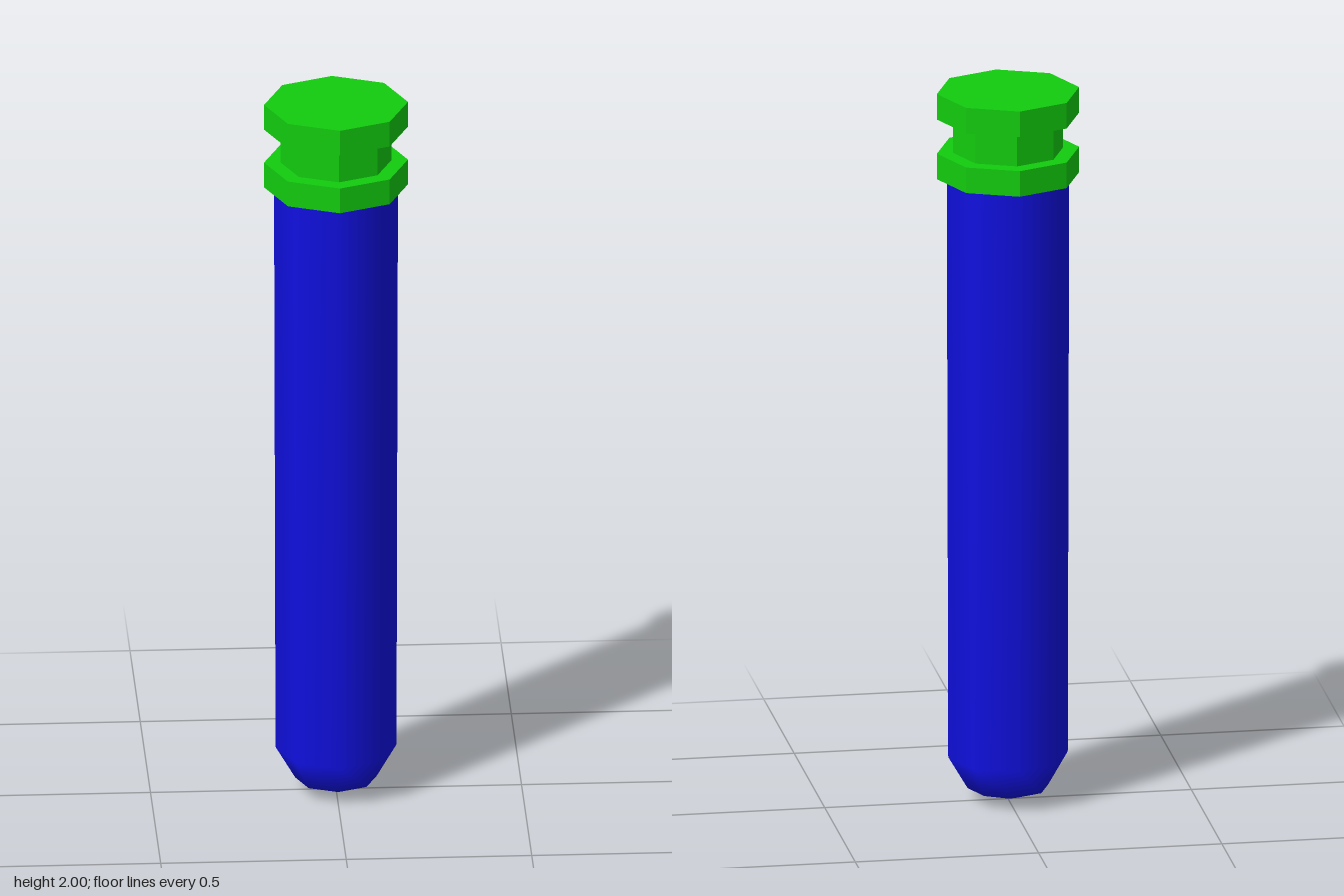
import * as THREE from 'three';

const SIDES = 8;

// Revolve a bottom-to-top [radius, height] profile into an eight-sided part
function turned(name, profile, material) {
  const points = profile.map(([r, y]) => new THREE.Vector2(r, y));
  const mesh = new THREE.Mesh(new THREE.LatheGeometry(points, SIDES), material);
  mesh.name = name;
  return mesh;
}

export function createModel() {
  const model = new THREE.Group();
  model.name = 'stopperedTube';

  const blue = new THREE.MeshStandardMaterial({ color: 0x1010e0, side: THREE.DoubleSide });
  const green = new THREE.MeshStandardMaterial({ color: 0x12cc0e, flatShading: true });

  // Slightly tapered tube with a rounded bottom, open under the stopper
  model.add(turned('tube', [
    [0, 0.005], [0.11, 0.04], [0.163, 0.13], [0.167, 1.77],
  ], blue));

  // Stopper: lower flange, narrow neck and top cap
  model.add(turned('stopper', [
    [0, 1.76], [0.194, 1.76], [0.194, 1.832], [0.15, 1.832],
    [0.15, 1.928], [0.194, 1.928], [0.194, 2], [0, 2],
  ], green));

  return model;
}
